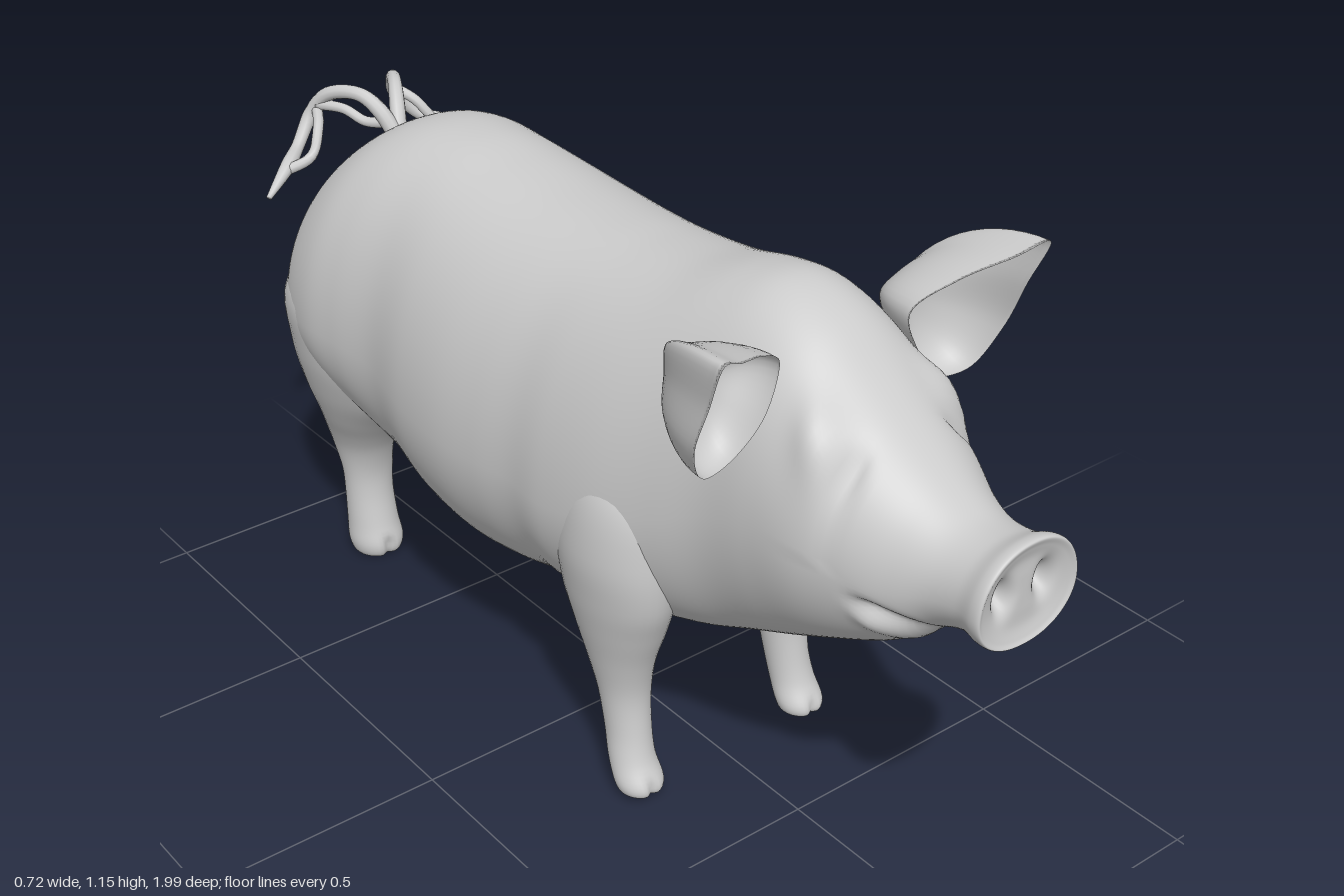
import * as THREE from 'three';

const material = new THREE.MeshStandardMaterial({ color: 0xcccccc, side: THREE.DoubleSide });
const bell = (d, w) => Math.exp(-(d * d) / (w * w));
const step = THREE.MathUtils.smoothstep;

// Smoothly interpolates rows of numbers (Catmull-Rom), with `n` steps between rows
function refine(rows, n) {
  const out = [];
  const at = (i) => rows[Math.max(0, Math.min(rows.length - 1, i))];
  for (let i = 0; i < rows.length - 1; i++) {
    for (let k = 0; k < n; k++) {
      const t = k / n;
      out.push(at(i).map((b, c) => {
        const a = at(i - 1)[c], d = at(i + 1)[c], e = at(i + 2)[c];
        return b + 0.5 * t * (d - a + t * (2 * a - 5 * b + 4 * d - e + t * (3 * (b - d) + e - a)));
      }));
    }
  }
  out.push(rows[rows.length - 1]);
  return out;
}

// Skins closed rings: place(row, u) gives a point; side -1 mirrors across x
function skin(name, rows, segs, place, side = 1) {
  const pos = [], index = [];
  rows.forEach((row) => {
    for (let j = 0; j < segs; j++) {
      const p = place(row, j / segs);
      pos.push(p[0] * side, p[1], p[2]);
    }
  });
  for (let i = 0; i < rows.length - 1; i++) {
    for (let j = 0; j < segs; j++) {
      const a = i * segs + j, b = i * segs + (j + 1) % segs, c = a + segs, d = b + segs;
      if (side > 0) index.push(a, c, b, b, c, d);
      else index.push(a, b, c, b, d, c);
    }
  }
  const g = new THREE.BufferGeometry();
  g.setAttribute('position', new THREE.Float32BufferAttribute(pos, 3));
  g.setIndex(index);
  g.computeVertexNormals();
  const mesh = new THREE.Mesh(g, material);
  mesh.name = name;
  return mesh;
}

// Torso and head, snout to rump: [z, top, bottom, half width, height of widest point 0..1]
const bodyRows = [
  [0.988, 0.772, 0.772, 0, 0.45],
  [0.988, 0.80, 0.74, 0.035, 0.45],
  [0.988, 0.83, 0.708, 0.072, 0.45],
  [0.994, 0.853, 0.685, 0.098, 0.45],
  [0.998, 0.868, 0.675, 0.111, 0.45],
  [0.98, 0.868, 0.675, 0.114, 0.45],
  [0.94, 0.852, 0.68, 0.106, 0.45],
  [0.88, 0.852, 0.655, 0.11, 0.45],
  [0.82, 0.878, 0.605, 0.13, 0.45],
  [0.75, 0.925, 0.555, 0.16, 0.5],
  [0.65, 1.0, 0.505, 0.197, 0.5],
  [0.55, 1.075, 0.455, 0.211, 0.48],
  [0.45, 1.11, 0.41, 0.222, 0.45],
  [0.35, 1.10, 0.37, 0.25, 0.42],
  [0.22, 1.065, 0.34, 0.288, 0.4],
  [0.1, 1.047, 0.31, 0.303, 0.4],
  [0, 1.04, 0.298, 0.301, 0.42],
  [-0.1, 1.036, 0.275, 0.312, 0.43],
  [-0.22, 1.036, 0.26, 0.321, 0.44],
  [-0.35, 1.044, 0.27, 0.315, 0.44],
  [-0.48, 1.055, 0.30, 0.297, 0.44],
  [-0.6, 1.05, 0.345, 0.308, 0.42],
  [-0.7, 1.02, 0.385, 0.314, 0.4],
  [-0.8, 0.955, 0.415, 0.292, 0.4],
  [-0.87, 0.88, 0.44, 0.25, 0.4],
  [-0.915, 0.80, 0.485, 0.192, 0.4],
  [-0.937, 0.71, 0.555, 0.115, 0.4],
  [-0.942, 0.62, 0.62, 0, 0.4],
];

function bodyPoint([z, top, bottom, hw, f], u) {
  const a = u * Math.PI * 2, s = Math.sin(a), c = Math.cos(a);
  const mid = bottom + (top - bottom) * f;
  let x = hw * Math.sign(c) * Math.abs(c) ** 0.92;
  let y = mid + (s > 0 ? top - mid : mid - bottom) * s;
  const ax = Math.abs(x);
  if (z > 0.97) {
    // nostrils
    z -= 0.035 * bell(ax - 0.046, 0.017) * bell(y - 0.775, 0.028);
  } else if (z > 0.5) {
    // mouth crease, lower lip, brow and eye slit
    const mouth = step(z, 0.74, 0.79) * (1 - step(z, 0.9, 0.94));
    const line = 0.622 + 0.43 * ax;
    let k = 1 - 0.13 * mouth * bell(y - line, 0.014) + 0.07 * mouth * bell(y - line + 0.03, 0.016);
    k += 0.14 * bell(z - 0.655, 0.045) * bell(ax - 0.135, 0.035) * (s > 0 ? 1 : 0);
    k -= 0.13 * bell(z - 0.71, 0.016) * bell(ax - 0.125, 0.035) * (s > 0 ? 1 : 0);
    x *= k;
    y = mid + (y - mid) * (1 + (k - 1) * 0.5);
  } else if (z < -0.65) {
    // cleft between the hams
    z += 0.07 * bell(x, 0.045) * step(-z, 0.65, 0.9) * step(y, 0.3, 0.45) * (1 - step(y, 0.6, 0.82));
  }
  return [x, y, z];
}

// Legs from the sole up: [y, x inner, x outer, z back, z front]
const frontLegRows = [
  [0.018, 0.205, 0.205, 0.27, 0.27],
  [0.014, 0.168, 0.24, 0.235, 0.31],
  [0.035, 0.156, 0.252, 0.222, 0.318],
  [0.08, 0.158, 0.248, 0.2, 0.293],
  [0.14, 0.155, 0.243, 0.182, 0.278],
  [0.22, 0.148, 0.247, 0.162, 0.272],
  [0.3, 0.14, 0.262, 0.135, 0.288],
  [0.38, 0.125, 0.28, 0.105, 0.318],
  [0.46, 0.12, 0.295, 0.08, 0.345],
  [0.56, 0.12, 0.304, 0.08, 0.35],
  [0.68, 0.13, 0.285, 0.11, 0.33],
  [0.78, 0.19, 0.22, 0.2, 0.24],
];
const hindLegRows = [
  [0.006, 0.145, 0.145, -0.76, -0.76],
  [0.002, 0.1, 0.19, -0.808, -0.715],
  [0.03, 0.086, 0.204, -0.826, -0.702],
  [0.08, 0.09, 0.202, -0.828, -0.715],
  [0.15, 0.092, 0.2, -0.828, -0.728],
  [0.21, 0.088, 0.202, -0.832, -0.728],
  [0.27, 0.084, 0.212, -0.855, -0.712],
  [0.32, 0.076, 0.228, -0.862, -0.685],
  [0.38, 0.06, 0.252, -0.86, -0.64],
  [0.46, 0.04, 0.28, -0.893, -0.575],
  [0.56, 0.03, 0.302, -0.915, -0.53],
  [0.68, 0.04, 0.302, -0.9, -0.55],
  [0.8, 0.15, 0.22, -0.75, -0.65],
];
function legPoint([y, x0, x1, z0, z1], u) {
  const a = u * Math.PI * 2, c = Math.cos(a), s = Math.sin(a);
  // split in the hoof
  const k = 1 - 0.22 * bell(c, 0.2) * (1 - step(y, 0.03, 0.06));
  return [(x0 + x1) / 2 + (x1 - x0) / 2 * c, y, (z0 + z1) / 2 + (z1 - z0) / 2 * s * k];
}

// Cupped ear: a deep shell behind the rim, a shallower hollow in front
const rim = new THREE.CatmullRomCurve3([
  [0.353, 1.152, 0.668], [0.35, 1.06, 0.63], [0.345, 0.96, 0.59], [0.3, 0.882, 0.56], [0.23, 0.882, 0.545],
  [0.175, 0.95, 0.56], [0.145, 1.04, 0.56], [0.215, 1.095, 0.6], [0.3, 1.13, 0.645],
].map((p) => new THREE.Vector3(...p)), true, 'centripetal');
const earRows = [];
for (let i = 0; i <= 14; i++) earRows.push([i / 14 * Math.PI / 2, 0.425]);
for (let i = 14; i >= 0; i--) earRows.push([i / 14 * Math.PI / 2 * 0.97, 0.475]);
function earPoint([t, depth], u) {
  const p = rim.getPoint(u), r = Math.sin(t) ** 0.9, h = Math.cos(t);
  return [0.235 + (p.x - 0.235) * r, 1.0 + (p.y - 1.0) * r, p.z + (depth - p.z) * h];
}

// Curly tail strands: [x, y, z, radius]
const tailStrands = [
  [[0, 0.93, -0.80, 0.018], [0.02, 0.99, -0.835, 0.017], [0.045, 1.022, -0.88, 0.015], [0.08, 1.01, -0.945, 0.015],
    [0.105, 0.96, -0.98, 0.016], [0.15, 0.905, -0.965, 0.014], [0.2, 0.885, -0.925, 0.016], [0.268, 0.845, -0.89, 0.006]],
  [[0.01, 0.97, -0.82, 0.013], [0.04, 0.965, -0.865, 0.011], [0.065, 0.985, -0.91, 0.011], [0.095, 0.985, -0.965, 0.012]],
  [[0.095, 0.975, -0.97, 0.012], [0.12, 0.955, -0.925, 0.011], [0.155, 0.905, -0.9, 0.011], [0.205, 0.88, -0.92, 0.012]],
];
function strand(points, side) {
  const rows = refine(points, 6);
  const path = new THREE.CatmullRomCurve3(rows.map((r) => new THREE.Vector3(r[0], r[1], r[2])));
  const rings = rows.map((r, i) => {
    const dir = path.getTangent(i / (rows.length - 1));
    const across = new THREE.Vector3(0, 1, 0.3).cross(dir).normalize();
    return { c: r, r: r[3], across, up: dir.clone().cross(across) };
  });
  rings.unshift({ ...rings[0], r: 0 });
  rings.push({ ...rings[rings.length - 1], r: 0 });
  return skin('tailStrand', rings, 10, ({ c, r, across, up }, u) => {
    const s = -Math.sin(u * Math.PI * 2) * r, k = Math.cos(u * Math.PI * 2) * r;
    return ['x', 'y', 'z'].map((key, i) => c[i] + across[key] * k - up[key] * s);
  }, -side);
}

export function createModel() {
  const pig = new THREE.Group();
  pig.name = 'pig';
  pig.add(skin('body', refine(bodyRows, 7), 120, bodyPoint));
  for (const side of [1, -1]) {
    const label = side > 0 ? 'left' : 'right';
    pig.add(skin(label + 'FrontLeg', refine(frontLegRows, 5), 40, legPoint, side));
    pig.add(skin(label + 'HindLeg', refine(hindLegRows, 5), 40, legPoint, side));
    pig.add(skin(label + 'Ear', earRows, 56, earPoint, side));
    const tail = new THREE.Group();
    tail.name = label + 'TailCurl';
    // mirrored by vertex, so the winding follows the side
    tailStrands.forEach((points) => {
      const mesh = strand(points, side);
      mesh.geometry.scale(-1, 1, 1);
      mesh.geometry.computeVertexNormals();
      tail.add(mesh);
    });
    pig.add(tail);
  }
  return pig;
}
